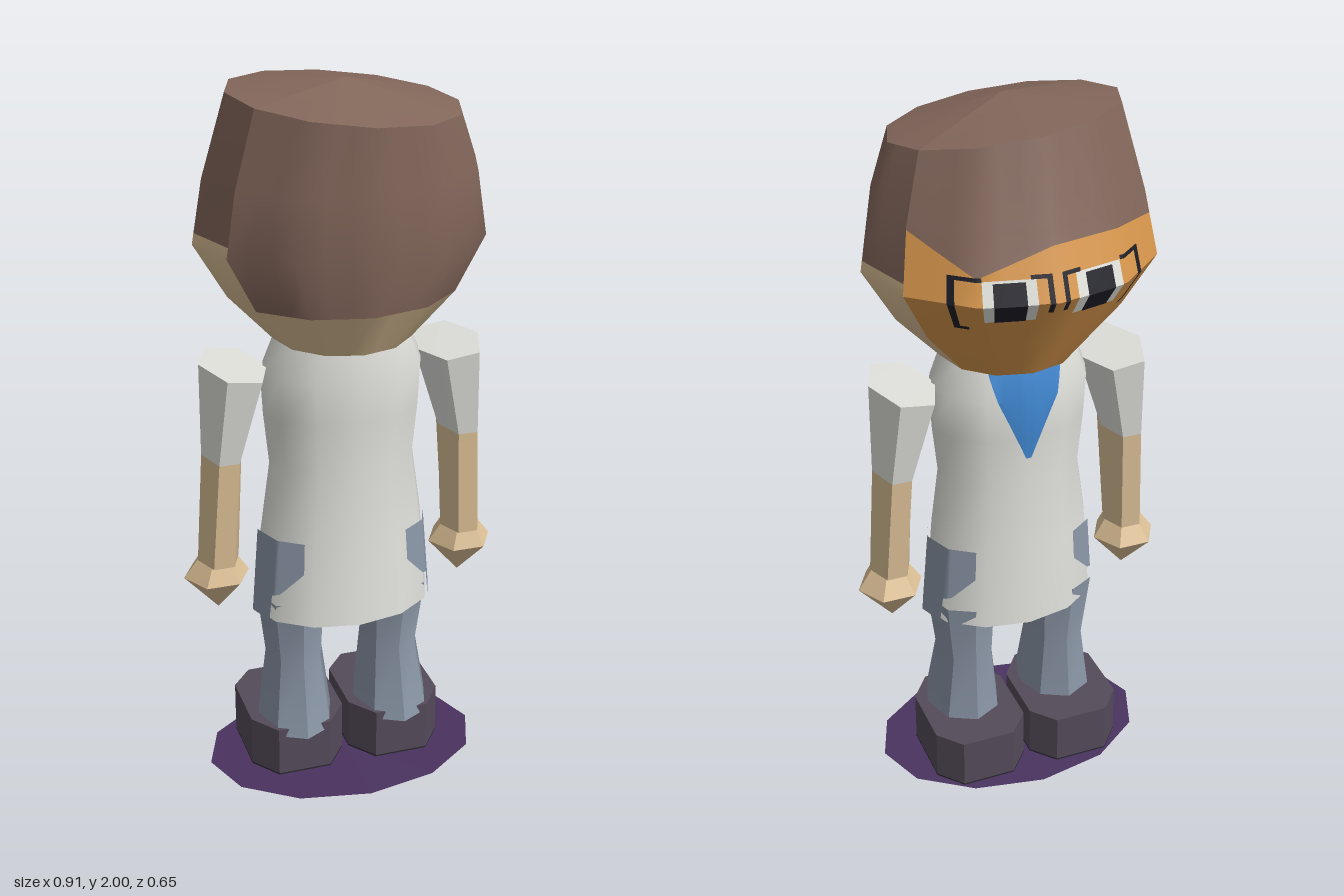
import * as THREE from 'three';
import { toCreasedNormals } from 'three/addons/utils/BufferGeometryUtils.js';

const mat = (name, color, side = THREE.FrontSide) => {
  const m = new THREE.MeshStandardMaterial({ color, side });
  m.name = name;
  return m;
};

// Surface through elliptical rings [y, cx, cz, rx, rzBack, rzFront] with n straight sides.
// Returns a point for an angle in degrees (0 = +x, 90 = +z) and a height.
function loft(rings, n, warp) {
  const step = 360 / n;
  const corner = (r, k) => {
    const a = THREE.MathUtils.degToRad(k * step), s = Math.sin(a);
    return new THREE.Vector3(r[1] + r[3] * Math.cos(a), r[0], r[2] + (s > 0 ? r[4] : r[5]) * s);
  };
  const point = (a, y, offset = 0) => {
    let i = 0;
    while (i < rings.length - 2 && y > rings[i + 1][0]) i++;
    const t = (y - rings[i][0]) / (rings[i + 1][0] - rings[i][0]);
    const r = rings[i].map((v, j) => v + (rings[i + 1][j] - v) * t);
    const k = Math.floor(a / step + 1e-6);
    const p = corner(r, k).lerp(corner(r, k + 1), a / step - k);
    if (warp) warp(p);
    const rad = THREE.MathUtils.degToRad(a);
    p.x += Math.cos(rad) * offset;
    p.z += Math.sin(rad) * offset;
    return p;
  };
  const heights = rings.map(r => r[0]);
  return { point, heights, step, bottom: heights[0], top: heights[heights.length - 1] };
}

// Covers part of a loft between two angles and two heights (numbers or functions of the angle).
function patch(surface, a0, a1, low, high, offset = 0, fine = surface.step, crease = 0.75) {
  const at = (f, a) => (typeof f === 'function' ? f(a) : f);
  const angles = [a0];
  for (let a = Math.floor(a0 / fine + 1) * fine; a < a1 - 1e-6; a += fine) angles.push(a);
  angles.push(a1);
  const rows = surface.heights.length + 2, pos = [], index = [];
  angles.forEach((a, i) => {
    const lo = at(low, a), hi = Math.max(lo, at(high, a));
    [lo, ...surface.heights, hi].forEach((y, j) => {
      pos.push(...surface.point(a, Math.min(hi, Math.max(lo, y)), offset).toArray());
      if (i && j) {
        const d = i * rows + j, c = d - 1, b = d - rows, e = b - 1;
        index.push(e, b, c, b, d, c);
      }
    });
  });
  const g = new THREE.BufferGeometry();
  g.setAttribute('position', new THREE.Float32BufferAttribute(pos, 3));
  g.setIndex(index);
  return toCreasedNormals(g, crease);
}

// Straight-line graph through [x, y] points
const graph = pts => x => {
  let i = 0;
  while (i < pts.length - 2 && x > pts[i + 1][0]) i++;
  const [p, q] = [pts[i], pts[i + 1]];
  return p[1] + (q[1] - p[1]) * THREE.MathUtils.clamp((x - p[0]) / (q[0] - p[0]), 0, 1);
};

export function createModel() {
  const root = new THREE.Group();
  root.name = 'figure';
  const hair = mat('brown hair', 0x82665a), skin = mat('light skin', 0xdcc096);
  const faceTone = mat('warm face', 0xd6964c), cloth = mat('white cloth', 0xe0e0db);
  const blue = mat('blue shirt', 0x3f86cf), jeans = mat('grey blue trousers', 0x8b97a7);
  const shoe = mat('dark shoe', 0x544b59), sole = mat('sole', 0x2b2a31);
  const disc = mat('purple base', 0x4a3360, THREE.DoubleSide), black = mat('black detail', 0x1c1c26);
  const add = (name, geometry, material, parent = root) => {
    const m = new THREE.Mesh(geometry, material);
    m.name = name;
    parent.add(m);
    return m;
  };

  // Head: one faceted form, tilted crown, pointed front
  const headGroup = new THREE.Group();
  headGroup.name = 'head';
  root.add(headGroup);
  const head = loft([
    [1.309, 0, 0.03, 0, 0, 0],
    [1.31, 0, 0.03, 0.19, 0.19, 0.18],
    [1.44, 0, 0.03, 0.312, 0.27, 0.26],
    [1.59, 0, 0.03, 0.4, 0.295, 0.355],
    [1.76, 0, 0.03, 0.37, 0.288, 0.285],
    [1.945, 0, 0.05, 0.31, 0.26, 0.235],
    [2.0, 0, 0.07, 0, 0, 0],
  ], 12, p => {
    const t = THREE.MathUtils.clamp((p.y - 1.76) / 0.185, 0, 1);
    p.y += p.y > 1.999 ? 0 : t * (-0.1 * p.x - 0.08 * (p.z - 0.07));
  });
  const hairline = graph([[-150, 1.7], [-120, 1.72], [-90, 1.72], [-60, 1.655], [-30, 1.75]]);
  const nape = a => (a > 29.9 && a < 150.1 ? 1.44 : a < -29.9 ? hairline(a) : 1.62);
  const add3 = (name, a0, a1, lo, hi, m, o, f = 10) => add(name, patch(head, a0, a1, lo, hi, o, f), m, headGroup);
  add3('hairFront', -150, -30, nape, 2, hair);
  add3('hairBack', 30, 150, nape, 2, hair);
  add3('hairLeft', -30, 30, 1.62, 2, hair);
  add3('hairRight', 150, 210, 1.62, 2, hair);
  add3('face', -150, -30, 1.31, hairline, faceTone);
  add3('cheekLeft', -30, 30, 1.31, 1.62, skin);
  add3('cheekRight', 150, 210, 1.31, 1.62, skin);
  add3('nape', 30, 150, 1.31, 1.44, skin);
  add3('chinUnderside', -180, 180, 1.309, 1.31, skin);

  // Eyes and spectacle frames laid on the face
  for (const s of [1, -1]) {
    const deco = (name, a0, a1, lo, hi, m, o) =>
      s > 0 ? add3(name, a0, a1, lo, hi, m, o) : add3(name, -180 - a1, -180 - a0, lo, hi, m, o);
    deco('eyeWhite', -82, -62, 1.535, 1.65, cloth, 0.003);
    deco('pupil', -78, -66, 1.535, 1.645, black, 0.006);
    deco('frameTopOuter', -62, -48, 1.65, 1.66, black, 0.005);
    deco('frameTopInner', -88, -80, 1.65, 1.66, black, 0.005);
    deco('frameOuterSide', -51, -48, 1.51, 1.65, black, 0.005);
    deco('frameInnerSide', -88, -86, 1.56, 1.65, black, 0.005);
    deco('frameLowerCorner', -55, -48, 1.505, 1.515, black, 0.005);
  }

  // Tunic with a V of shirt at the front
  const body = loft([
    [0.499, 0, 0.035, 0, 0, 0],
    [0.5, 0, 0.035, 0.255, 0.175, 0.175],
    [0.75, 0, 0.03, 0.235, 0.16, 0.16],
    [0.95, 0, 0.03, 0.207, 0.147, 0.147],
    [1.1, 0, 0.03, 0.222, 0.155, 0.155],
    [1.22, 0, 0.03, 0.228, 0.16, 0.16],
    [1.315, 0, 0.03, 0.19, 0.145, 0.13],
  ], 12);
  add('tunic', patch(body, -180, 180, 0.499, 1.315), cloth);
  add('shirtCollar', patch(body, -122, -58, a => 1.02 + Math.abs(a + 90) / 32 * 0.29, 1.313, 0.004, 4), blue);

  // Trouser hips showing through the tunic sides
  for (const [name, mid] of [['hipLeft', 0], ['hipRight', 180]]) {
    const edge = graph([[0, 0.5], [24, 0.5], [26, 0.58], [34, 0.59], [52, 0.66]]);
    add(name, patch(body, mid - 52, mid + 52, a => edge(Math.abs(a - mid)), 0.75, 0.009, 2), jeans);
  }

  for (const s of [1, -1]) {
    const side = new THREE.Group();
    side.name = s > 0 ? 'leftLimbs' : 'rightLimbs';
    root.add(side);

    // Arm and sleeve share one six-sided form
    const arm = loft([
      [0.679, s * 0.358, 0.03, 0, 0, 0],
      [0.68, s * 0.358, 0.03, 0.058, 0.08, 0.08],
      [1.0, s * 0.34, 0.03, 0.056, 0.104, 0.104],
      [1.249, s * 0.302, 0.03, 0.093, 0.15, 0.15],
      [1.25, s * 0.302, 0.03, 0, 0, 0],
    ], 6, p => { if (p.y > 1.2) p.y += 0.13 * (Math.abs(p.x) - 0.31); });
    add('forearm', patch(arm, -180, 180, 0.679, 1.0), skin, side);
    add('sleeve', patch(arm, -180, 180, 1.0, 1.25), cloth, side);

    // Hand
    const hand = loft([
      [0.52, s * 0.36, 0.02, 0, 0, 0],
      [0.625, s * 0.362, 0.02, 0.093, 0.094, 0.094],
      [0.68, s * 0.36, 0.025, 0.055, 0.065, 0.065],
      [0.69, s * 0.36, 0.025, 0, 0, 0],
    ], 6);
    add('hand', patch(hand, -180, 180, 0.52, 0.69), skin, side);

    // Trouser leg
    const leg = loft([
      [0.13, s * 0.147, 0.04, 0.113, 0.14, 0.14],
      [0.35, s * 0.143, 0.025, 0.083, 0.105, 0.105],
      [0.55, s * 0.15, 0.028, 0.1, 0.13, 0.13],
    ], 8);
    add('trouserLeg', patch(leg, -180, 180, 0.13, 0.55), jeans, side);

    // Shoe: chamfered block with a separate sole
    const outline = new THREE.Shape([
      [0.01, -0.07], [0.07, -0.15], [0.225, -0.15], [0.285, -0.07],
      [0.285, 0.12], [0.225, 0.19], [0.07, 0.19], [0.01, 0.12],
    ].map(([x, y]) => new THREE.Vector2(s * x, y)));
    const block = new THREE.ExtrudeGeometry(outline, { depth: 0.147, bevelEnabled: false });
    block.rotateX(-Math.PI / 2);
    add('shoe', block, shoe, side).position.y = 0.008;
    const plate = new THREE.ExtrudeGeometry(outline, { depth: 0.008, bevelEnabled: false });
    plate.rotateX(-Math.PI / 2);
    add('sole', plate, sole, side);
  }

  // Flat oval base
  const oval = new THREE.CircleGeometry(1, 12);
  oval.rotateX(-Math.PI / 2);
  oval.scale(0.4, 1, 0.285);
  add('base', oval, disc).position.set(0, 0.003, 0.03);
  return root;
}
